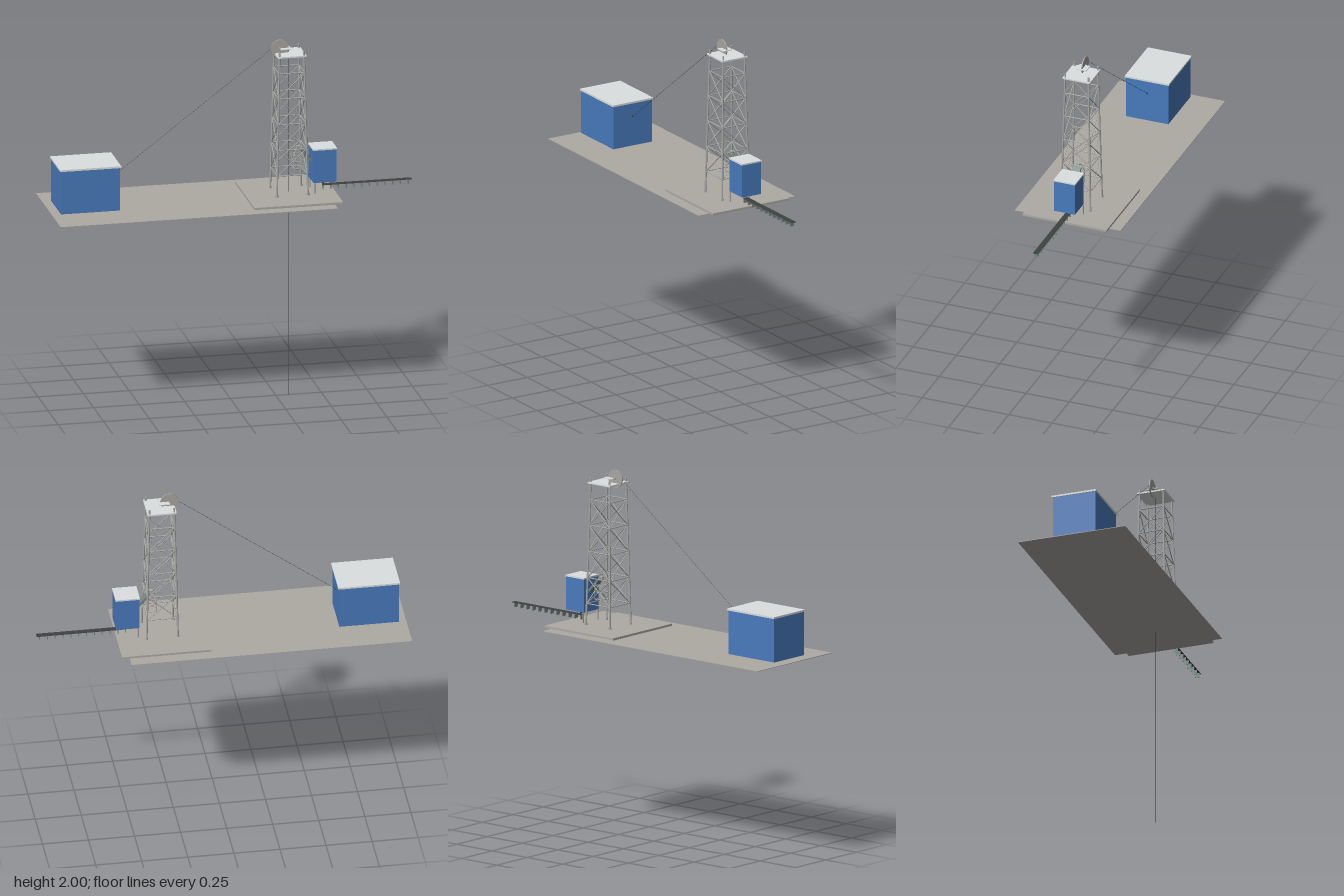
import * as THREE from 'three';

const mat = (name, color, side = THREE.FrontSide) => {
  const m = new THREE.MeshStandardMaterial({ color, side });
  m.name = name;
  return m;
};

export function createModel() {
  const root = new THREE.Group();
  root.name = 'mineHeadframe';
  const concrete = mat('concrete', 0xaeaaa4);
  const blue = mat('bluePaint', 0x487abc);
  const roofGrey = mat('roofGrey', 0xdcdfdf);
  const steel = mat('steel', 0xa6a6a3);
  const wheelGrey = mat('wheelGrey', 0xa9a6a0);
  const dark = mat('darkRubber', 0x404241);
  const chuteGreen = mat('chuteGrey', 0x74857f);

  const add = (parent, name, geo, m, x = 0, y = 0, z = 0) => {
    const mesh = new THREE.Mesh(geo, m);
    mesh.name = name;
    mesh.position.set(x, y, z);
    parent.add(mesh);
    return mesh;
  };
  // Box given by its limits on each axis
  const block = (parent, name, m, x0, x1, y0, y1, z0, z1) =>
    add(parent, name, new THREE.BoxGeometry(x1 - x0, y1 - y0, z1 - z0), m,
      (x0 + x1) / 2, (y0 + y1) / 2, (z0 + z1) / 2);
  // Smooth round bar between two points
  const up = new THREE.Vector3(0, 1, 0);
  const bar = (parent, name, m, a, b, r) => {
    const p = new THREE.Vector3(...a), q = new THREE.Vector3(...b);
    const d = q.clone().sub(p);
    const mesh = add(parent, name, new THREE.CylinderGeometry(r, r, d.length(), 36), m);
    mesh.position.copy(p).add(q).multiplyScalar(0.5);
    mesh.quaternion.setFromUnitVectors(up, d.normalize());
    return mesh;
  };
  const group = (name) => {
    const g = new THREE.Group();
    g.name = name;
    root.add(g);
    return g;
  };

  // Ground sheet and tower pad
  block(root, 'ground', concrete, -0.998, 0.524, 1.126, 1.129, -0.305, 0.305);
  block(root, 'towerPad', concrete, 0.08, 0.567, 1.13, 1.142, -0.242, 0.242);

  // Winding house
  const house = group('windingHouse');
  block(house, 'houseWalls', blue, -0.956, -0.632, 1.14, 1.38, -0.122, 0.122);
  block(house, 'houseRoof', roofGrey, -0.961, -0.626, 1.38, 1.39, -0.127, 0.127);
  block(house, 'ropeOpening', dark, -0.633, -0.63, 1.301, 1.309, -0.004, 0.004);

  // Lattice tower: tapering legs, ring beams and crossed braces
  const tower = group('tower');
  const cx = 0.323;
  const half = (y) => 0.085 - (y - 1.142) * 0.0225;
  const corners = [[1, 1], [1, -1], [-1, -1], [-1, 1]];
  const at = ([sx, sz], y) => [cx + sx * half(y), y, sz * half(y)];
  for (const c of corners) {
    bar(tower, 'towerLeg', steel, at(c, 1.142), at(c, 1.95), 0.005);
    const [fx, , fz] = at(c, 1.142);
    bar(tower, 'legFoot', steel, [fx, 1.142, fz], [fx, 1.154, fz], 0.007);
  }
  const levels = [1.26, 1.402, 1.546, 1.69, 1.83];
  corners.forEach((c, i) => {
    const d = corners[(i + 1) % 4];
    levels.forEach((y, k) => {
      bar(tower, 'ringBeam', steel, at(c, y), at(d, y), 0.003);
      if (k === levels.length - 1) return;
      bar(tower, 'brace', steel, at(c, y), at(d, levels[k + 1]), 0.0025);
      bar(tower, 'brace', steel, at(d, y), at(c, levels[k + 1]), 0.0025);
    });
  });
  block(tower, 'topPlatform', roofGrey, cx - 0.079, cx + 0.079, 1.919, 1.927, -0.079, 0.079);

  // Head wheel with its hub and bearing plate
  const head = group('headWheel');
  const wx = 0.272, wy = 1.952;
  const disc = add(head, 'wheelDisc', new THREE.CylinderGeometry(0.049, 0.049, 0.006, 40), wheelGrey, wx, wy, 0);
  disc.rotation.x = Math.PI / 2;
  bar(head, 'wheelHub', steel, [wx, wy, -0.01], [wx, wy, 0.01], 0.006);
  block(head, 'bearingPlate', roofGrey, wx, 0.33, wy - 0.002, wy + 0.002, -0.03, 0.03);

  // Hoist ropes: one to the winding house, one down the shaft
  bar(root, 'hoistRope', dark, [wx - 0.047, wy, 0], [-0.632, 1.305, 0], 0.0008);
  bar(root, 'shaftRope', dark, [0.322, 0, 0], [0.322, wy, 0], 0.0008);

  // Open skip cage hanging beside the chute
  const skip = group('skipCage');
  const sides = corners.map(([sx, sz]) => [0.371 + sx * 0.026, sz * 0.026]);
  sides.forEach(([x, z], i) => {
    const [x2, z2] = sides[(i + 1) % 4];
    bar(skip, 'cagePost', steel, [x, 1.275, z], [x, 1.35, z], 0.0025);
    bar(skip, 'cageBail', steel, [x, 1.35, z], [0.371 + (x - 0.371) * 0.35, 1.395, z * 0.35], 0.0025);
    for (const y of [1.275, 1.315, 1.35])
      bar(skip, 'cageRail', steel, [x, y, z], [x2, y, z2], 0.002);
  });
  block(skip, 'cageCap', steel, 0.361, 0.381, 1.393, 1.399, -0.01, 0.01);

  // Loading bin on two legs, chute and rounded discharge hopper
  const bin = group('loadingBin');
  block(bin, 'binWalls', blue, 0.444, 0.57, 1.2, 1.382, -0.06, 0.06);
  block(bin, 'binRoof', roofGrey, 0.441, 0.573, 1.382, 1.39, -0.063, 0.063);
  for (const s of [1, -1])
    bar(bin, 'binLeg', steel, [0.45, 1.142, s * 0.06], [0.45, 1.2, s * 0.06], 0.004);
  const chute = add(bin, 'chute', new THREE.BoxGeometry(0.1, 0.012, 0.045), chuteGreen, 0.415, 1.345, 0);
  chute.rotation.z = -0.84;
  add(bin, 'hopper', new THREE.SphereGeometry(0.022, 32, 12, 0, Math.PI * 2, Math.PI / 2, Math.PI / 2),
    dark, 0.507, 1.201, 0);

  // Conveyor with a row of tapered supports
  const conveyor = group('conveyor');
  block(conveyor, 'belt', dark, 0.506, 0.994, 1.169, 1.172, -0.014, 0.014);
  const fin = new THREE.Shape([[-0.014, 0], [-0.012, -0.026], [0.012, -0.026], [0.014, 0]]
    .map(([x, y]) => new THREE.Vector2(x, y)));
  const finGeo = new THREE.ExtrudeGeometry(fin, { depth: 0.002, bevelEnabled: false });
  for (let i = 0; i < 12; i++) {
    const f = add(conveyor, 'beltSupport', finGeo, chuteGreen, 0.508 + i * 0.0425, 1.17, 0);
    f.rotation.y = Math.PI / 2;
  }
  return root;
}
